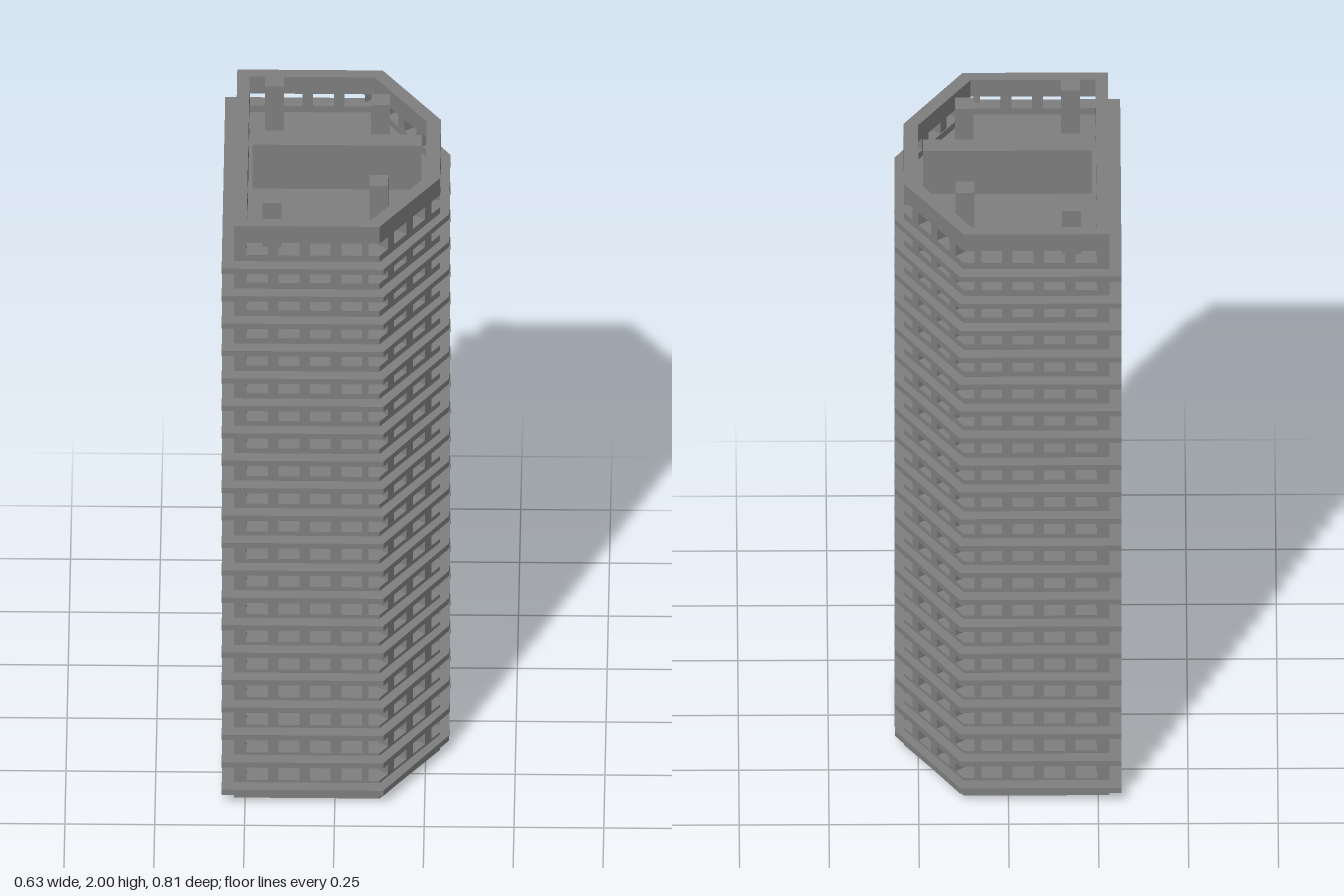
import * as THREE from 'three';

const FLOORS = 20;
const WALL_TOP = 1.97;
const WINDOW = { first: 0.061, step: 0.0952, height: 0.042 };
const SLAB = { first: 0.035, step: 0.0945, height: 0.018 };
const BAY = 0.0875;     // spacing of the piers along a wall
const HALF = 0.0147;    // half the width of a pier

const V = (x, y) => new THREE.Vector2(x, y);

// Six-sided plan: flat on the -x side, chamfered towards +x
function plan(back, side, cornerX, tipX, tipZ) {
  return [V(back, -side), V(cornerX, -side), V(tipX, -tipZ),
    V(tipX, tipZ), V(cornerX, side), V(back, side)];
}

// Extrudes a plan shape (or list of shapes) upwards
function extrudeUp(shapes, height) {
  return new THREE.ExtrudeGeometry(shapes, { depth: height, bevelEnabled: false }).rotateX(-Math.PI / 2);
}

// Plan of a rectangular pier, on a wall with a centre, tangent and inward depth
function pier(centre, tangent, inward, depth, k) {
  const at = (s, d) => centre.clone().addScaledVector(tangent, s).addScaledVector(inward, d);
  const a = k * BAY - HALF, b = k * BAY + HALF;
  return [at(a, 0), at(b, 0), at(b, depth), at(a, depth)];
}

export function createModel() {
  const group = new THREE.Group();
  const material = new THREE.MeshStandardMaterial({ color: 0x808080 });
  function add(name, geometry, x, y, z) {
    const mesh = new THREE.Mesh(geometry, material);
    mesh.name = name;
    mesh.position.set(x, y, z);
    group.add(mesh);
  }

  const outer = plan(-0.281, 0.369, 0.124, 0.289, 0.138);
  const inner = plan(-0.246, 0.336, 0.102, 0.249, 0.131);
  const wallRing = new THREE.Shape(outer);
  wallRing.holes.push(new THREE.Path(inner));

  // Piers between windows: flat side and narrow end
  const piers = [];
  for (let k = -3; k <= 3; k++) piers.push(pier(V(-0.281, 0), V(0, 1), V(1, 0), 0.035, k));
  for (let k = -1; k <= 1; k++) piers.push(pier(V(0.289, 0), V(0, 1), V(-1, 0), 0.04, k));

  // Piers of one long side and one chamfer, then mirrored
  const half = [];
  for (let k = -2; k <= 0; k++) half.push(pier(V(0.003, 0.369), V(1, 0), V(0, -1), 0.033, k));
  const chamfer = outer[3].clone().sub(outer[4]).normalize();
  const middle = outer[3].clone().add(outer[4]).multiplyScalar(0.5);
  for (let k = -1; k <= 1; k++) half.push(pier(middle, chamfer, V(chamfer.y, -chamfer.x), 0.035, k));
  half.push([V(0.075, 0.369), V(0.094, 0.369), V(0.075, 0.356)]);
  half.push([V(-0.281, 0.369), V(-0.246, 0.369), V(-0.246, 0.336), V(-0.281, 0.336)]);
  for (const p of half) piers.push(p, p.map((v) => V(v.x, -v.y)));

  const pierRow = extrudeUp(piers.map((p) => new THREE.Shape(p)), WINDOW.height);
  const band = extrudeUp(wallRing, WINDOW.step - WINDOW.height);
  const slab = extrudeUp(new THREE.Shape(plan(-0.315, 0.405, 0.135, 0.315, 0.14)), SLAB.height);

  // Storeys: slab, window row and the wall band above it
  add('baseWall', extrudeUp(wallRing, WINDOW.first), 0, 0, 0);
  for (let i = 0; i < FLOORS; i++) {
    const sill = WINDOW.first + i * WINDOW.step;
    add('floorSlab', slab, 0, SLAB.first + i * SLAB.step, 0);
    add('windowPiers', pierRow, 0, sill, 0);
    const head = sill + WINDOW.height;
    if (i < FLOORS - 1) add('wallBand', band, 0, head, 0);
    else add('parapet', extrudeUp(wallRing, WALL_TOP - head), 0, head, 0);
  }

  // Inner columns and dividing wall, rising above the parapet
  const column = new THREE.BoxGeometry(0.052, 2, 0.052);
  for (const side of [-1, 1]) {
    add('column', column, -0.176, 1, side * 0.275);
    add('column', column, 0.12, 1, side * 0.191);
  }
  add('dividingWall', new THREE.BoxGeometry(0.47, 2, 0.052), 0.001, 1, 0);
  return group;
}
